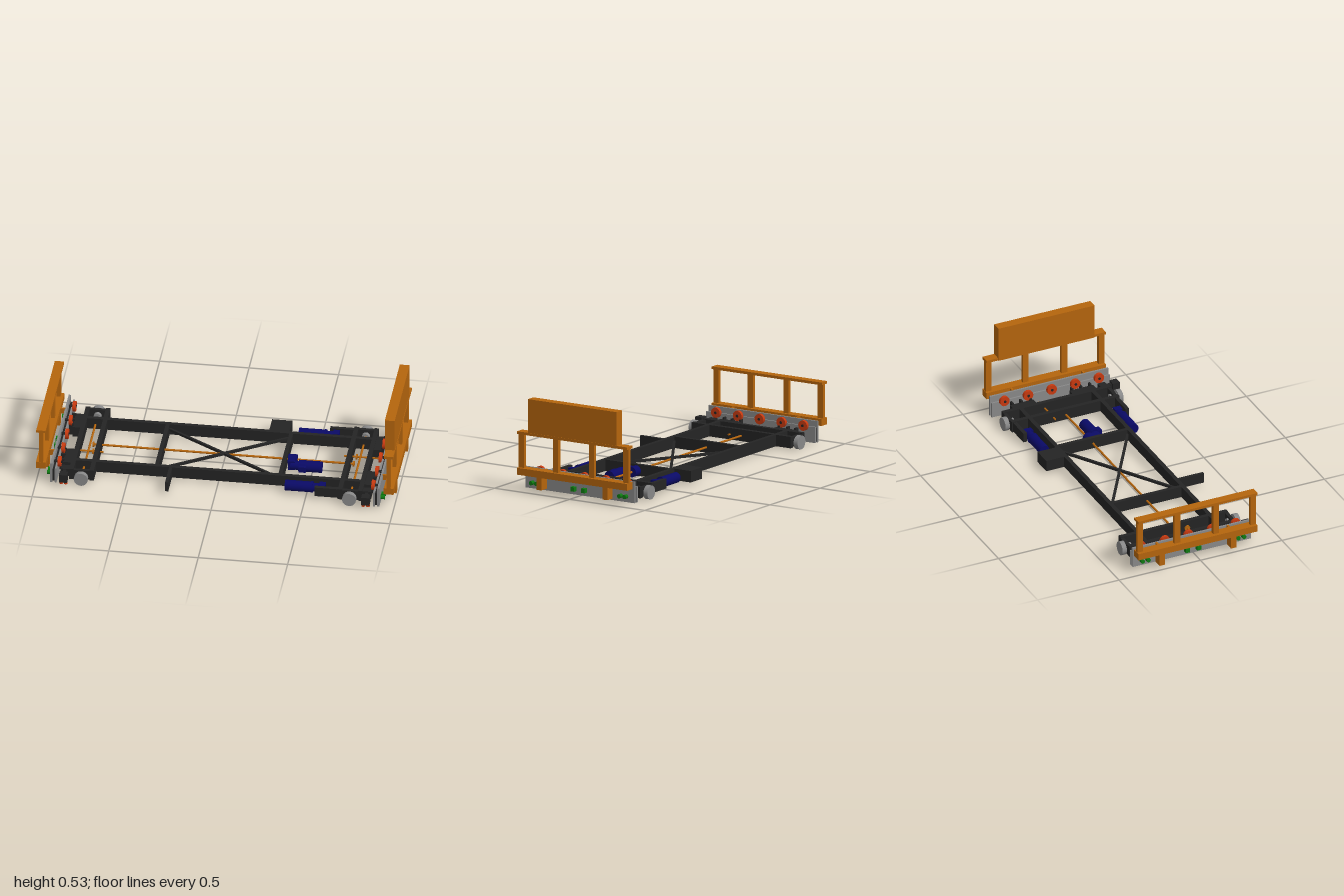
import * as THREE from 'three';

const mat = (color) => new THREE.MeshStandardMaterial({ color });
const M = {
  orange: mat(0xb5650d), dark: mat(0x242424), grey: mat(0x888888),
  blue: mat(0x0a0a66), green: mat(0x0f7a12), red: mat(0xc83a10),
};
const ZC = -0.017; // centre line of the chassis

export function createModel() {
  const root = new THREE.Group();
  root.name = 'transferCart';

  const add = (parent, name, geo, m) => {
    const mesh = new THREE.Mesh(geo, m);
    mesh.name = name;
    parent.add(mesh);
    return mesh;
  };
  // Box given by its limits on each axis
  const box = (parent, name, m, x0, x1, y0, y1, z0, z1) => {
    const mesh = add(parent, name, new THREE.BoxGeometry(Math.abs(x1 - x0), y1 - y0, z1 - z0), m);
    mesh.position.set((x0 + x1) / 2, (y0 + y1) / 2, (z0 + z1) / 2);
    return mesh;
  };
  // Cylinder between two limits along an axis, centred on the point (x, y, z)
  const rod = (parent, name, m, axis, r, length, x, y, z, sides = 24) => {
    const geo = new THREE.CylinderGeometry(r, r, length, sides);
    if (axis === 'x') geo.rotateZ(Math.PI / 2);
    if (axis === 'z') geo.rotateX(Math.PI / 2);
    const mesh = add(parent, name, geo, m);
    mesh.position.set(x, y, z);
    return mesh;
  };

  // Long chassis rails, cross members and diagonal bracing
  const chassis = new THREE.Group();
  chassis.name = 'chassis';
  root.add(chassis);
  for (const z of [-0.24, 0.203]) {
    box(chassis, 'longRail', M.dark, -0.82, 0.82, 0.015, 0.08, z - 0.012, z + 0.012);
  }
  for (const x of [-0.345, 0.345]) {
    box(chassis, 'crossMember', M.dark, x - 0.011, x + 0.011, 0.015, 0.08, -0.23, 0.193);
  }
  for (const s of [-1, 1]) {
    const brace = add(chassis, 'diagonalBrace', new THREE.BoxGeometry(0.79, 0.014, 0.014), M.dark);
    brace.position.set(0, 0.05, ZC);
    brace.rotation.y = s * Math.atan2(0.42, 0.67);
  }
  box(chassis, 'sideArm', M.dark, -0.275, -0.257, 0.02, 0.078, 0.21, 0.37);
  box(chassis, 'controlBox', M.dark, 0.22, 0.333, 0.015, 0.08, -0.362, -0.25);

  // Drive shaft along the middle, with end couplings
  rod(chassis, 'driveShaft', M.orange, 'x', 0.006, 1.46, 0, 0.045, -0.02, 12);
  for (const x of [-0.73, 0.725]) rod(chassis, 'coupling', M.orange, 'x', 0.016, 0.008, x, 0.045, -0.02);
  for (const [x, z, len] of [[-0.755, 0.053, 0.18], [0.765, -0.095, 0.21]]) {
    rod(chassis, 'outputShaft', M.orange, 'x', 0.005, len, x, 0.045, z, 12);
    rod(chassis, 'coupling', M.orange, 'x', 0.016, 0.008, x * 0.955, 0.045, z);
  }

  // One end of the cart; s = +1 or -1 picks the side
  for (const s of [-1, 1]) {
    const end = new THREE.Group();
    end.name = s > 0 ? 'leftEnd' : 'rightEnd';
    root.add(end);
    const b = (name, m, x0, x1, ...r) => box(end, name, m, s * x0, s * x1, ...r);

    // Wheel carrier frame
    b('carrierBeam', M.dark, 0.682, 0.707, 0.015, 0.08, -0.35, 0.31);
    b('carrierBeam', M.dark, 0.795, 0.82, 0.015, 0.08, -0.35, 0.31);
    b('carrierBar', M.dark, 0.69, 0.81, 0.02, 0.075, -0.35, -0.33);
    b('carrierBar', M.dark, 0.69, 0.81, 0.02, 0.075, 0.29, 0.31);

    // Axle, wheels and hubs
    rod(end, 'axle', M.orange, 'z', 0.006, 0.7, s * 0.75, 0.04, ZC, 12);
    for (const [z, hub] of [[-0.363, -0.335], [0.335, 0.305]]) {
      rod(end, 'wheel', M.grey, 'z', 0.039, 0.027, s * 0.75, 0.039, z, 32);
      rod(end, 'wheelHub', M.grey, 'z', 0.022, 0.05, s * 0.75, 0.039, hub);
    }

    // Mounting blocks joining the carrier to the end plate
    for (const z of [-0.205, 0.162]) {
      b('mountBlock', M.dark, 0.815, 0.865, 0.015, 0.075, z - 0.072, z + 0.072);
      for (const dz of [-0.055, 0, 0.055]) b('mountRib', M.dark, 0.86, 0.89, 0.02, 0.085, z + dz - 0.006, z + dz + 0.006);
    }

    // End plates with the spacer between
    b('outerPlate', M.grey, 0.908, 0.92, 0.01, 0.13, -0.378, 0.348);
    b('innerPlate', M.grey, 0.885, 0.895, 0.01, 0.1, -0.378, 0.348);
    b('plateSpacer', M.dark, 0.895, 0.908, 0.015, 0.09, -0.37, 0.34);

    // Red rollers on the inner side
    for (let i = 0; i < 5; i++) {
      const z = -0.305 + i * 0.145;
      rod(end, 'roller', M.red, 'x', 0.029, 0.018, s * 0.877, 0.103, z);
      rod(end, 'rollerPin', M.dark, 'x', 0.008, 0.045, s * 0.888, 0.103, z, 12);
    }

    // Green round and square buffers
    for (const z of [0.297, 0.262, -0.29, -0.325]) rod(end, 'roundBuffer', M.green, 'x', 0.012, 0.024, s * 0.932, 0.043, z);
    for (const z of [0.02, -0.05]) b('squareBuffer', M.green, 0.92, 0.944, 0.031, 0.056, z - 0.0125, z + 0.0125);

    // Sensor on the front corner
    b('sensorBracket', M.dark, 0.82, 0.868, 0.03, 0.075, 0.262, 0.305);
    b('sensorArm', M.dark, 0.835, 0.853, 0.035, 0.07, 0.3, 0.345);
    b('sensorBody', M.dark, 0.822, 0.868, 0.03, 0.078, 0.335, 0.378);
    for (const x of [0.832, 0.858]) rod(end, 'sensorLamp', M.red, 'y', 0.01, 0.016, s * x, 0.022, 0.358, 16);

    // Guard rail
    const guard = new THREE.Group();
    guard.name = 'guardRail';
    end.add(guard);
    const g = (name, x0, x1, ...r) => box(guard, name, M.orange, s * x0, s * x1, ...r);
    g('lowerRail', 0.945, 1.0, 0.096, 0.135, -0.381, 0.351);
    g('topRail', 0.946, 0.998, 0.327, 0.342, -0.381, 0.351);
    for (const z of [0.333, 0.105, -0.133, -0.361]) g('post', 0.961, 0.982, 0.135, 0.327, z - 0.0175, z + 0.0175);
    for (const z of [0.205, -0.233]) {
      g('bracket', 0.945, 0.998, 0.026, 0.1, z - 0.0165, z + 0.0165);
      g('bracketFoot', 0.918, 0.95, 0.1, 0.132, z - 0.006, z + 0.006);
    }
    if (s > 0) g('board', 0.941, 0.996, 0.327, 0.533, -0.31, 0.28);
  }

  // Wheel drive motors with their gear arms
  for (const [z, armZ] of [[-0.296, -0.333], [0.251, 0.293]]) {
    const motor = new THREE.Group();
    motor.name = 'wheelMotor';
    root.add(motor);
    rod(motor, 'motorBody', M.blue, 'x', 0.03, 0.15, 0.455, 0.045, z);
    rod(motor, 'motorNeck', M.blue, 'x', 0.024, 0.07, 0.56, 0.045, z);
    rod(motor, 'motorFlange', M.blue, 'x', 0.032, 0.012, 0.53, 0.045, z);
    box(motor, 'gearArm', M.dark, 0.55, 0.69, 0.02, 0.075, armZ - 0.011, armZ + 0.011);
    box(motor, 'gearHousing', M.blue, 0.57, 0.605, 0.02, 0.07, z - 0.022, z + 0.022);
  }

  // Central motor geared to the drive shaft
  const central = new THREE.Group();
  central.name = 'centralMotor';
  root.add(central);
  rod(central, 'motorBody', M.blue, 'x', 0.032, 0.13, 0.49, 0.04, 0.032);
  rod(central, 'motorNeck', M.blue, 'x', 0.025, 0.05, 0.405, 0.04, 0.032);
  rod(central, 'gearbox', M.blue, 'x', 0.03, 0.05, 0.385, 0.045, -0.018);
  box(central, 'gearCase', M.blue, 0.365, 0.405, 0.015, 0.07, -0.02, 0.045);
  box(central, 'terminalBox', M.blue, 0.43, 0.47, 0.025, 0.058, 0.05, 0.08);

  return root;
}
